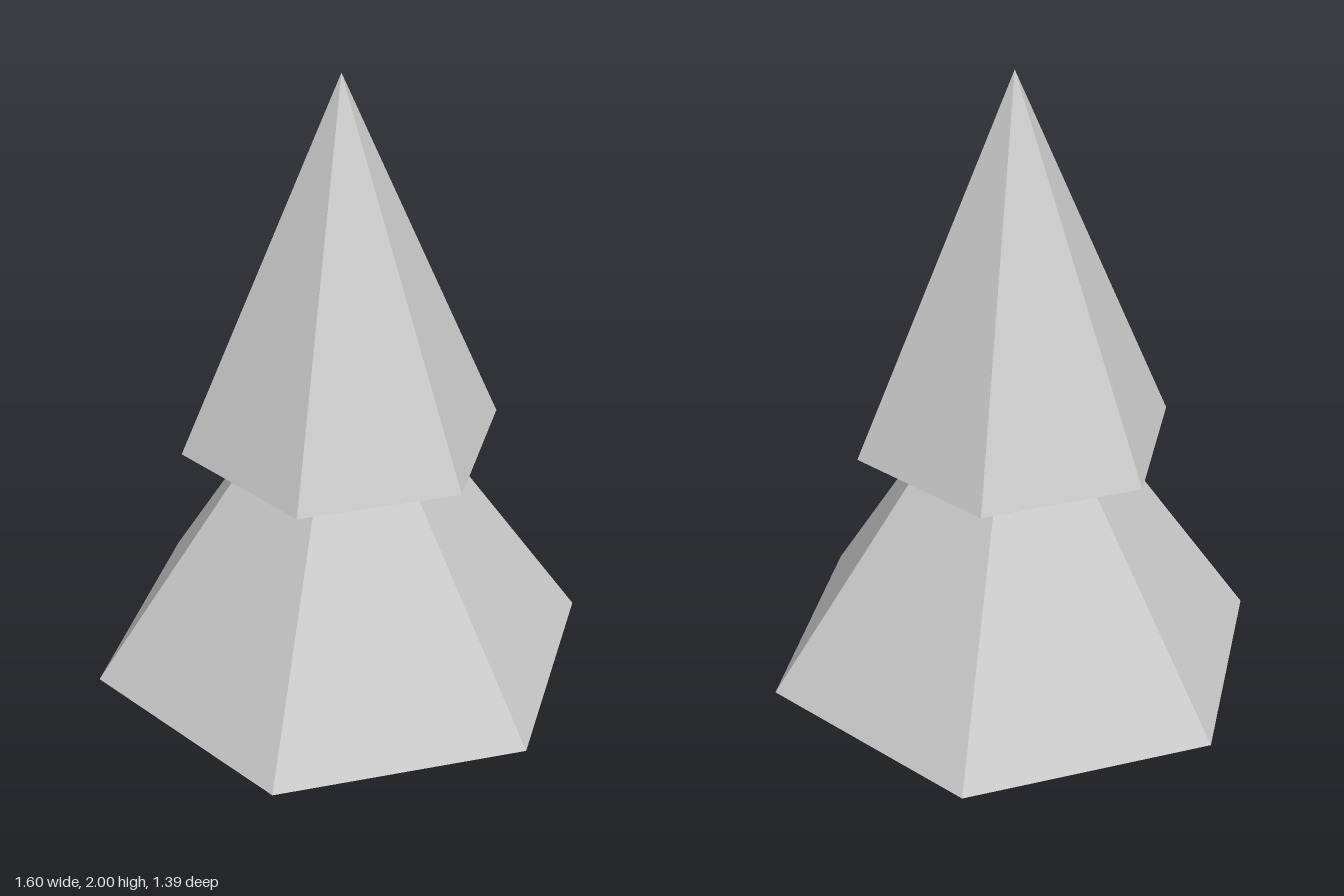
import * as THREE from 'three';

export function createModel() {
  const model = new THREE.Group();
  model.name = 'lowPolyTree';

  const grey = new THREE.MeshStandardMaterial({
    color: 0xcccccc, flatShading: true, side: THREE.DoubleSide,
  });
  grey.name = 'plain grey';

  // Open six-sided pyramid with corners on the x axis
  function addTier(name, radius, bottom, height) {
    const geometry = new THREE.ConeGeometry(radius, height, 6, 1, true, Math.PI / 2);
    geometry.translate(0, bottom + height / 2, 0);
    const tier = new THREE.Mesh(geometry, grey);
    tier.name = name;
    model.add(tier);
  }

  // The lower tier's tip is hidden inside the upper tier
  addTier('lowerTier', 0.8, 0, 1.2);
  addTier('upperTier', 0.505, 0.8, 1.2);

  return model;
}
